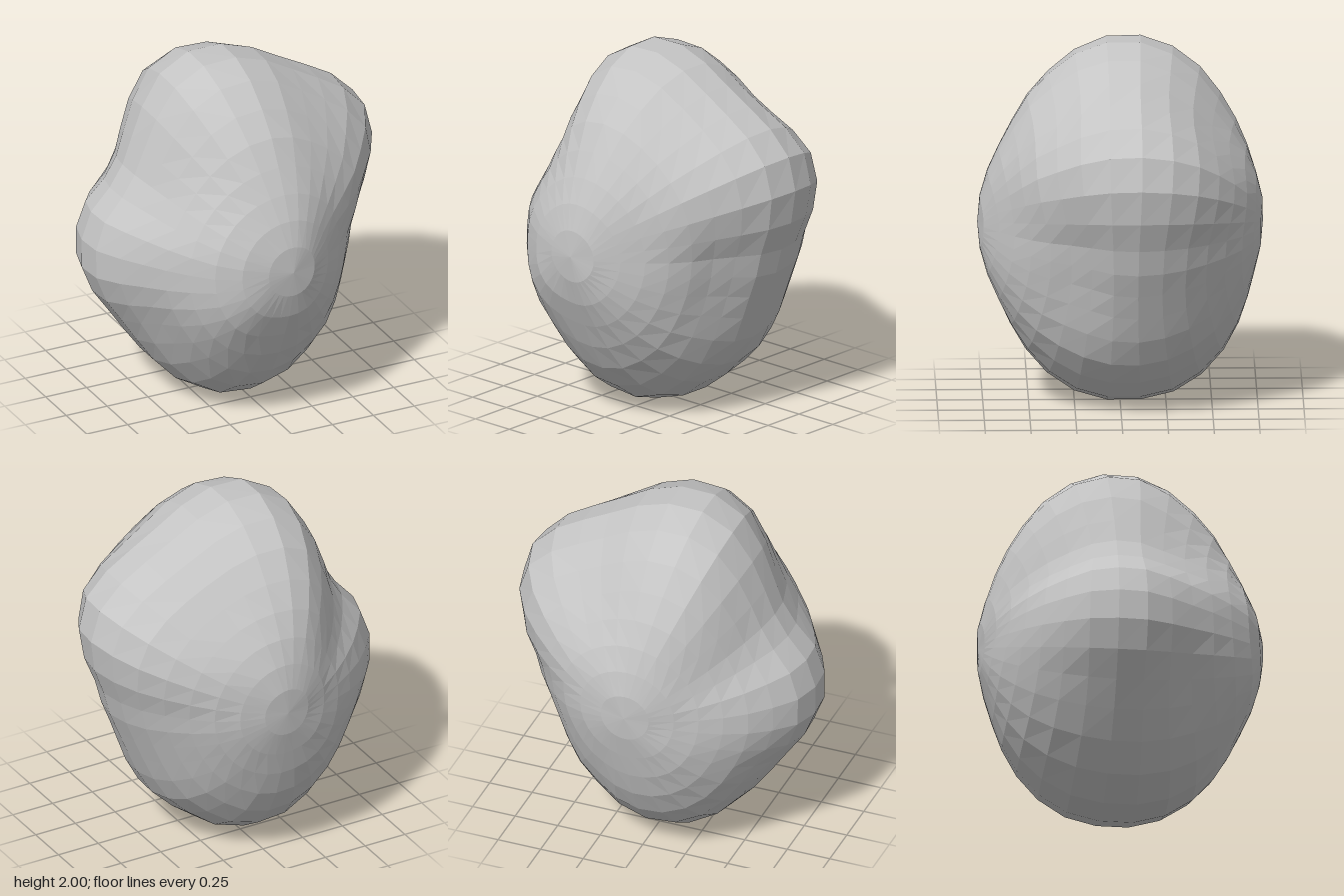
import * as THREE from 'three';

const SIDES = 32, RINGS = 17;
const FRONT = 0.8, BACK = 0.76; // radii at the two poles
const rad = THREE.MathUtils.degToRad;

// Outline radius around the z axis, every 11.25 degrees from +x towards +y
const OUTLINE = [
  0.77, 0.85, 0.93, 0.97, 0.95, 0.92, 0.92, 0.96,
  1.004, 1.02, 0.98, 0.88, 0.79, 0.74, 0.75, 0.82,
  0.86, 0.875, 0.86, 0.84, 0.855, 0.9, 0.96, 1.005,
  1.004, 0.965, 0.9, 0.85, 0.79, 0.745, 0.73, 0.745,
];

// Flattened or swollen flanks: centre angle, half width, and radius change per ring, front to back
const FLANKS = [
  { around: 3, spread: 85, // right cheek
    rings: [0, -0.02, -0.065, -0.09, -0.1, -0.105, -0.11, -0.08, -0.025, 0, 0, -0.005, -0.015, -0.015, -0.005, 0, 0, 0] },
  { around: 188, spread: 65, // left cheek
    rings: [0, 0.005, 0.01, 0, -0.035, -0.06, -0.07, -0.05, -0.01, 0, -0.01, -0.04, -0.05, -0.05, -0.04, -0.025, -0.01, 0] },
  { around: 125, spread: 45, // front valley
    rings: [0, 0, -0.005, -0.015, -0.03, -0.045, -0.05, -0.04, -0.01, 0, 0, 0, 0, 0, 0, 0, 0, 0] },
  { around: 148, spread: 42, // back valley
    rings: [0, 0, 0, 0, 0, 0, 0, 0, 0, 0, -0.005, -0.015, -0.02, -0.02, -0.015, -0.005, 0, 0] },
  { around: 72, spread: 65, // crown
    rings: [0, 0, 0, 0, -0.01, -0.01, -0.02, -0.01, 0, 0, -0.03, -0.05, -0.06, -0.04, -0.01, 0.01, 0.01, 0] },
  { around: 222, spread: 45, // lower left belly
    rings: [0, 0, 0.02, 0.035, 0.035, 0.02, 0, 0, 0, 0, 0, 0.02, 0.035, 0.035, 0.03, 0.015, 0, 0] },
];

function rockRadius(ring, side) {
  const polar = ring * 180 / RINGS;
  const front = polar < 90;
  const blend = front
    ? THREE.MathUtils.smoothstep(polar, 25, 85)
    : THREE.MathUtils.smoothstep(180 - polar, 15, 82);
  let r = THREE.MathUtils.lerp(front ? FRONT : BACK, OUTLINE[side], blend);
  for (const f of FLANKS) {
    const turn = Math.abs((side * 360 / SIDES - f.around + 540) % 360 - 180);
    if (turn < f.spread) r += f.rings[ring] * Math.cos(turn / f.spread * Math.PI / 2) ** 2;
  }
  return r;
}

export function createModel() {
  const group = new THREE.Group();
  group.name = 'rock';

  const stone = new THREE.MeshStandardMaterial({ color: 0xc4c4c4, flatShading: true });
  stone.name = 'stone grey';

  // Boulder: a sphere with its poles at front and back, pushed in and out
  const geometry = new THREE.SphereGeometry(1, SIDES, RINGS);
  geometry.rotateX(Math.PI / 2);
  const pos = geometry.attributes.position;
  const d = new THREE.Vector3();
  for (let i = 0; i < pos.count; i++) {
    d.fromBufferAttribute(pos, i).normalize();
    const ring = Math.floor(i / (SIDES + 1));
    const side = (Math.round(Math.atan2(d.y, d.x) / rad(360 / SIDES)) + SIDES) % SIDES;
    d.multiplyScalar(rockRadius(ring, side));
    pos.setXYZ(i, d.x, d.y + 1, d.z - 0.02);
  }
  geometry.computeVertexNormals();

  const boulder = new THREE.Mesh(geometry, stone);
  boulder.name = 'boulder';
  group.add(boulder);
  return group;
}
